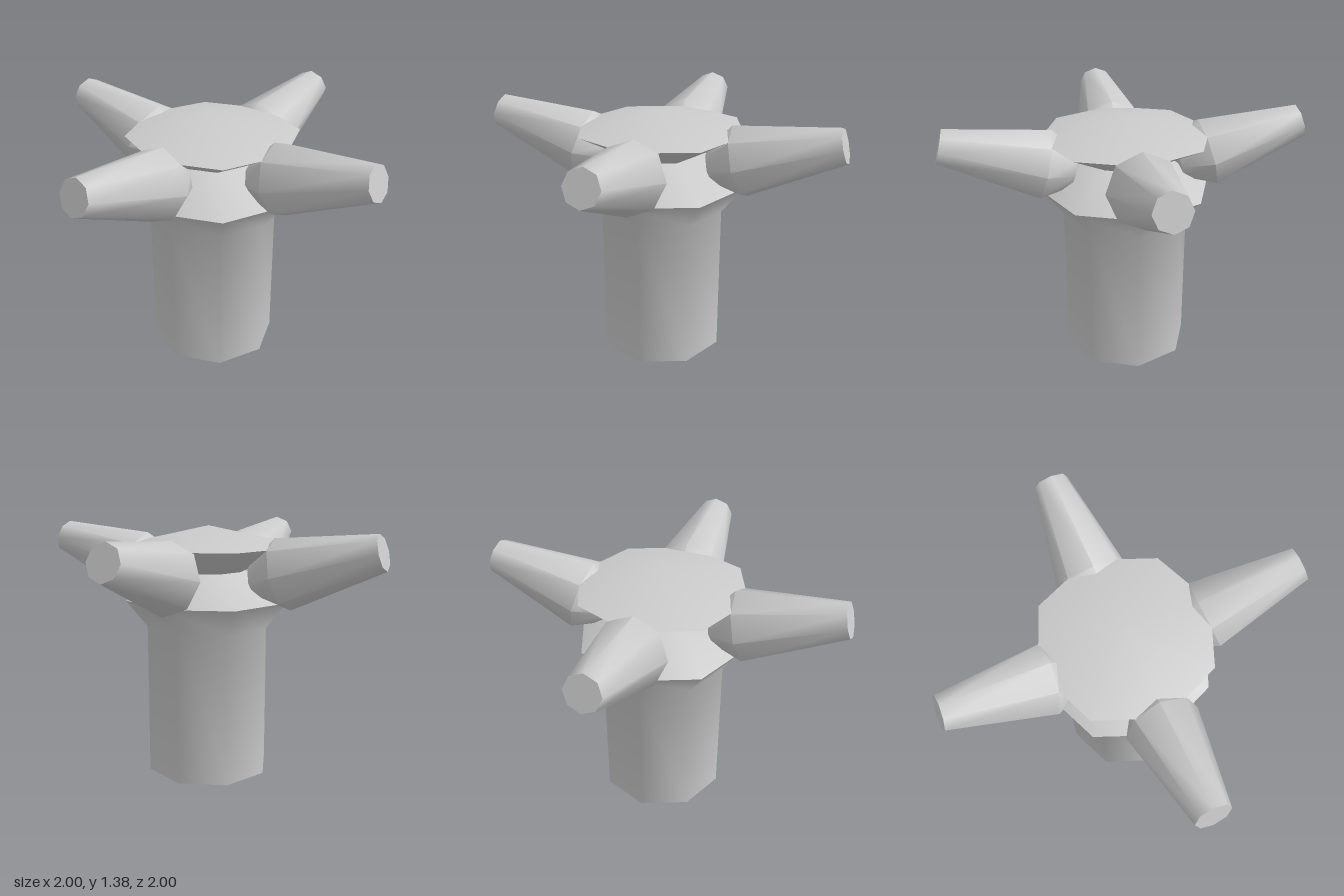
import * as THREE from 'three';
import { toCreasedNormals } from 'three/addons/utils/BufferGeometryUtils.js';

const SIDES = 8;
const material = new THREE.MeshStandardMaterial({ color: 0xcccccc });

// Eight-sided turned solid from [radius, height] pairs, listed bottom to top
function turned(name, profile) {
  const points = profile.map(([r, y]) => new THREE.Vector2(r, y));
  const geometry = toCreasedNormals(new THREE.LatheGeometry(points, SIDES), 1.0);
  const mesh = new THREE.Mesh(geometry, material);
  mesh.name = name;
  return mesh;
}

export function createModel() {
  const model = new THREE.Group();
  model.name = 'valve';

  // Column flaring to a collar, then narrowing to the neck
  model.add(turned('column', [
    [0, 0], [0.35, 0], [0.35, 0.84], [0.467, 0.99], [0.2, 1.14], [0, 1.14],
  ]));

  // Cap: shallow cone on top, tapering down to the neck
  model.add(turned('cap', [
    [0, 1.14], [0.2, 1.14], [0.467, 1.28], [0, 1.385],
  ]));

  // Four handles around the neck, tilted 15 degrees upward
  for (let i = 0; i < 4; i++) {
    const arm = new THREE.Group();
    arm.name = `handleArm${i + 1}`;
    arm.rotation.y = (i * Math.PI) / 2;
    const handle = turned('handle', [
      [0, -0.16], [0.1, -0.16], [0.195, 0], [0.095, 0.55], [0, 0.55],
    ]);
    handle.position.set(0.445, 1.143, 0);
    handle.rotation.z = -THREE.MathUtils.degToRad(75);
    arm.add(handle);
    model.add(arm);
  }

  return model;
}
